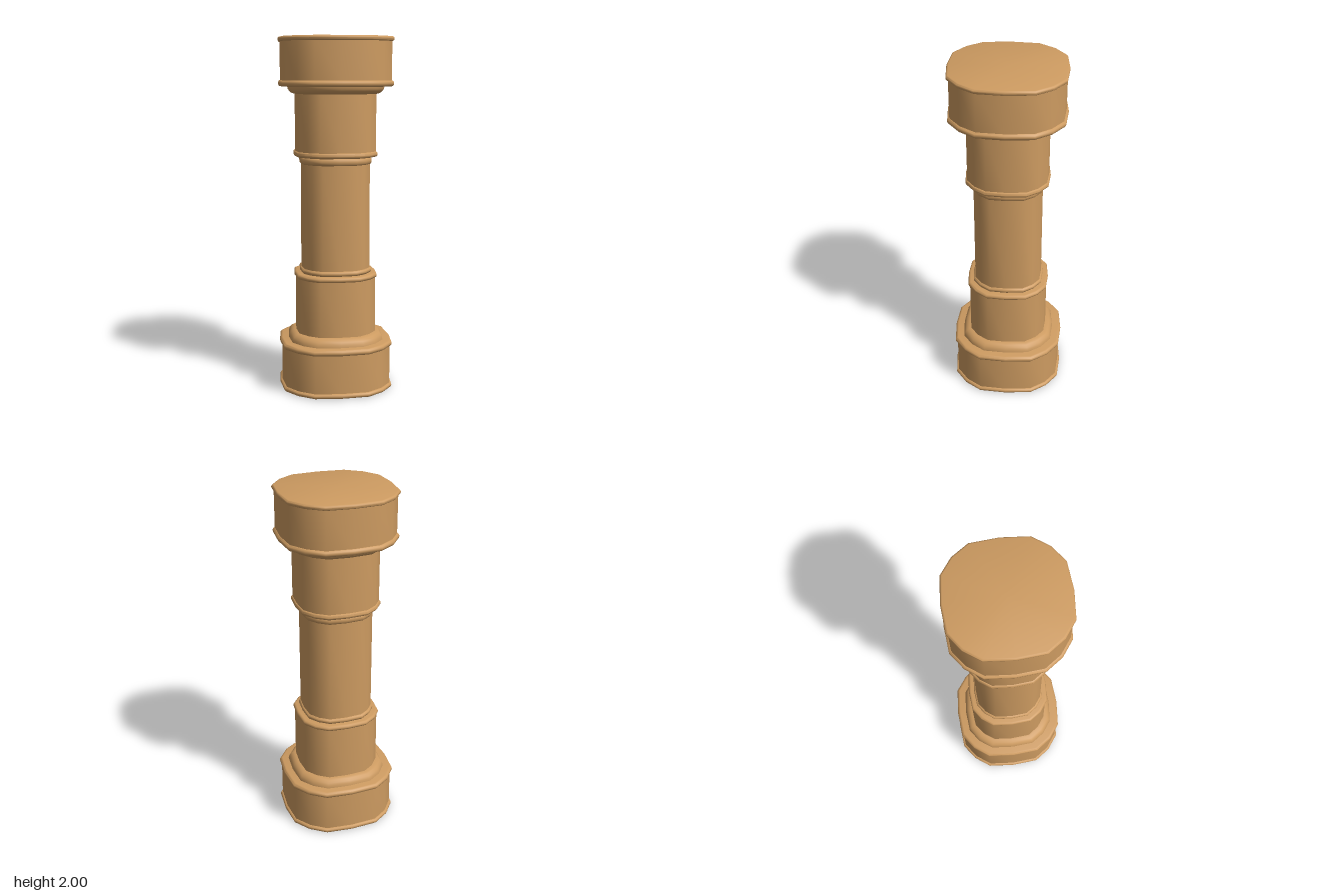
import * as THREE from 'three';
import { toCreasedNormals } from 'three/addons/utils/BufferGeometryUtils.js';

// Rounded-square cross-section, one quadrant, for a half-width of 1
const QUADRANT = [[0, 1], [0.48, 0.96], [0.76, 0.76], [0.96, 0.48]];
const OUTLINE = [];
for (let q = 0; q < 4; q++) {
  for (const [x, z] of QUADRANT) {
    OUTLINE.push([[x, z], [z, -x], [-x, -z], [-z, x]][q]);
  }
}

export function createModel() {
  const group = new THREE.Group();
  group.name = 'column';
  const stone = new THREE.MeshStandardMaterial({ color: 0xcd9b61 });
  stone.name = 'tan stone';

  // Sweep a [half-width, height] profile around the rounded-square outline
  function part(name, profile) {
    const points = profile.map(([r, y]) => new THREE.Vector2(r, y));
    const geo = new THREE.LatheGeometry(points, OUTLINE.length);
    const pos = geo.attributes.position;
    for (let i = 0; i < pos.count; i++) {
      const [x, z] = OUTLINE[Math.floor(i / points.length) % OUTLINE.length];
      const r = points[i % points.length].x;
      pos.setXYZ(i, x * r, pos.getY(i), z * r);
    }
    geo.deleteAttribute('normal');
    const mesh = new THREE.Mesh(toCreasedNormals(geo, 0.8), stone);
    mesh.name = name;
    group.add(mesh);
  }

  // Rounded band: bulges from half-width r to r + depth, closed top and bottom
  function band(name, r, depth, y0, y1) {
    const profile = [[0, y0]];
    for (let i = 0; i <= 6; i++) {
      const a = (i / 6 - 0.5) * Math.PI;
      profile.push([r + depth * Math.cos(a), (y0 + y1) / 2 + (y1 - y0) / 2 * Math.sin(a)]);
    }
    profile.push([0, y1]);
    part(name, profile);
  }

  // Quarter-round moulding between a block and a drum
  function moulding(name, yBlock, yDrum) {
    const profile = [];
    for (let i = 0; i <= 5; i++) {
      const a = i / 5 * Math.PI / 2;
      profile.push([0.222 + 0.048 * Math.cos(a), yBlock + (yDrum - yBlock) * Math.sin(a)]);
    }
    part(name, yDrum > yBlock ? profile : profile.reverse());
  }

  // Base
  band('baseFootBand', 0.311, 0.011, 0, 0.027);
  part('baseBlock', [[0.31, 0.015], [0.31, 0.26]]);
  band('baseTopBand', 0.306, 0.016, 0.245, 0.28);
  moulding('baseMoulding', 0.28, 0.328);
  part('lowerDrum', [[0.227, 0.29], [0.227, 0.66]]);
  band('lowerDrumBand', 0.222, 0.014, 0.642, 0.672);
  band('lowerShaftRing', 0.192, 0.012, 0.67, 0.7);

  // Shaft
  part('shaft', [[0.194, 0.68], [0.194, 1.31]]);

  // Capital
  band('upperShaftRing', 0.19, 0.014, 1.292, 1.336);
  band('upperDrumBand', 0.222, 0.014, 1.335, 1.367);
  part('upperDrum', [[0.227, 1.35], [0.227, 1.72]]);
  moulding('capitalMoulding', 1.728, 1.685);
  band('capitalLowerBand', 0.306, 0.016, 1.727, 1.762);
  part('capitalBlock', [[0.31, 1.745], [0.31, 1.985]]);
  band('capitalTopBand', 0.311, 0.011, 1.974, 2);

  return group;
}
